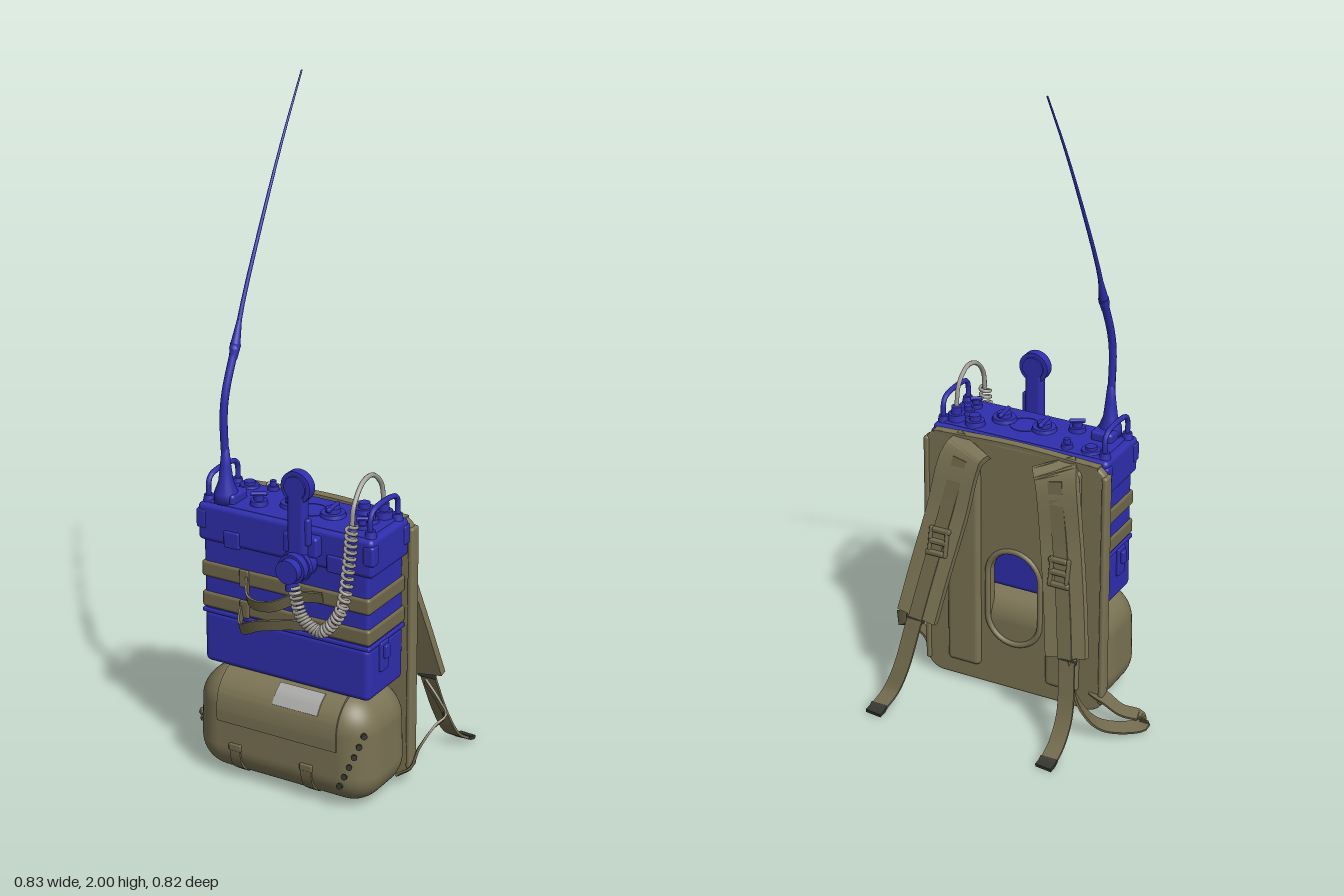
import * as THREE from 'three';
import { toCreasedNormals } from 'three/addons/utils/BufferGeometryUtils.js';
import { RoundedBoxGeometry } from 'three/addons/geometries/RoundedBoxGeometry.js';

const mat = (name, color) => {
  const m = new THREE.MeshStandardMaterial({ color });
  m.name = name;
  return m;
};
const V = (x, y, z) => new THREE.Vector3(x, y, z);
const curve = pts => new THREE.CatmullRomCurve3(pts.map(p => V(...p)), false, 'centripetal');

// Flat strap swept along a path, its width lying along a given axis
function ribbon(pts, width, thick, axis = [1, 0, 0], steps = 28) {
  const path = curve(pts), pos = [], idx = [];
  for (let i = 0; i <= steps; i++) {
    const p = path.getPoint(i / steps), t = path.getTangent(i / steps), w = V(...axis);
    w.addScaledVector(t, -w.dot(t)).normalize();
    const n = t.clone().cross(w);
    for (const [a, b] of [[1, 1], [-1, 1], [-1, -1], [1, -1]])
      pos.push(...p.clone().addScaledVector(w, a * width / 2).addScaledVector(n, b * thick / 2).toArray());
    if (i < steps) for (let k = 0; k < 4; k++) {
      const a = i * 4 + k, b = i * 4 + (k + 1) % 4;
      idx.push(a, b, b + 4, a, b + 4, a + 4);
    }
  }
  const e = steps * 4;
  idx.push(0, 2, 1, 0, 3, 2, e, e + 1, e + 2, e, e + 2, e + 3);
  const g = new THREE.BufferGeometry();
  g.setAttribute('position', new THREE.Float32BufferAttribute(pos, 3));
  g.setIndex(idx);
  return toCreasedNormals(g, 0.7);
}

const tube = (pts, r, seg = 32, sides = 8) => new THREE.TubeGeometry(curve(pts), seg, r, sides);
const rbox = (w, h, d, r = 0.01, s = 3) => new RoundedBoxGeometry(w, h, d, s, r);
const cyl = (r1, r2, h, n = 24) => new THREE.CylinderGeometry(r1, r2, h, n);

// Slot with semicircular ends
function ovalPath(cx, cy, rx, ry) {
  const s = new THREE.Path();
  s.absarc(cx, cy + ry - rx, rx, 0, Math.PI, false);
  s.absarc(cx, cy - ry + rx, rx, Math.PI, Math.PI * 2, false);
  s.closePath();
  return s;
}

export function createModel() {
  const blue = mat('radio blue', 0x2f2eae), olive = mat('olive canvas', 0x7b7354),
    web = mat('webbing', 0x70684b), dark = mat('dark fittings', 0x35352f),
    grey = mat('grey cord', 0xa09d95), pale = mat('pale label', 0xa9a9a7);
  const root = new THREE.Group(), pack = new THREE.Group();
  root.name = 'packRadio';
  pack.name = 'pack';
  pack.position.set(-0.12, 0, 0.139);
  pack.rotation.y = -0.6435;
  root.add(pack);
  const add = (name, geo, m, x = 0, y = 0, z = 0, parent = pack) => {
    const o = new THREE.Mesh(geo, m);
    o.name = name;
    o.position.set(x, y, z);
    parent.add(o);
    return o;
  };

  // Radio case
  add('batteryBox', rbox(0.55, 0.165, 0.2, 0.018), blue, 0, 0.422, 0);
  add('caseBody', rbox(0.545, 0.27, 0.196, 0.012), blue, 0, 0.63, 0);
  add('caseSeam', rbox(0.556, 0.014, 0.206, 0.005), blue, 0, 0.505, 0);
  add('caseCap', rbox(0.575, 0.115, 0.21, 0.014), blue, 0, 0.78, 0);
  for (const y of [0.635, 0.54]) add('caseBand', rbox(0.557, 0.05, 0.208, 0.01), web, 0, y, 0);
  for (const s of [-1, 1]) {
    add('latchPlate', rbox(0.014, 0.09, 0.045, 0.004), blue, s * 0.277, 0.46, 0.02);
    add('latchLever', rbox(0.018, 0.04, 0.025, 0.004), blue, s * 0.285, 0.475, 0.02);
    add('carryHandle', tube([[s * 0.265, 0.83, -0.075], [s * 0.265, 0.895, -0.075], [s * 0.265, 0.912, -0.06],
      [s * 0.265, 0.912, 0.06], [s * 0.265, 0.895, 0.075], [s * 0.265, 0.83, 0.075]], 0.008), blue);
    for (const z of [-0.075, 0.075]) {
      add('handleFoot', cyl(0.014, 0.018, 0.02, 16), blue, s * 0.265, 0.846, z);
      add('cornerGuard', rbox(0.035, 0.06, 0.035, 0.008), blue, s * 0.274, 0.79, z * 1.2);
    }
    add('frontClip', rbox(0.05, 0.05, 0.016, 0.004), blue, s * 0.17, 0.745, 0.105);
  }
  add('topPlate', rbox(0.53, 0.01, 0.18, 0.004), blue, 0, 0.838, 0);

  // Controls on the top, each as x, z, radius, height
  const knobs = [[-0.145, 0.12, 0.035, 0.026], [-0.04, 0.205, 0.035, 0.026], [0.05, 0.19, 0.028, 0.032],
    [0.1, 0.23, 0.025, 0.045], [0.06, 0.265, 0.02, 0.028], [0.03, 0.305, 0.018, 0.028],
    [-0.24, 0.1, 0.024, 0.032], [-0.19, -0.005, 0.016, 0.03], [-0.255, -0.04, 0.028, 0.018]];
  knobs.forEach(([x, z, r, h], i) => {
    add('knobBase', cyl(r, r * 1.1, h * 0.5), blue, x, 0.841 + h * 0.25, z, root);
    add('knobTop', cyl(r * 0.6, r * 0.65, h), blue, x, 0.841 + h * 0.5, z, root);
    if (i < 2 || i === 6 || i === 5) {
      const bar = add('knobPointer', rbox(r * 2, 0.012, 0.012, 0.004), blue, x, 0.842 + h, z, root);
      bar.rotation.y = i < 2 ? 1 : -0.1;
    }
  });
  const dial = add('dialRing', new THREE.TorusGeometry(0.045, 0.0015, 6, 32), blue, -0.095, 0.843, 0.16, root);
  dial.rotation.x = Math.PI / 2;

  // Antenna: spring base, bent lower section, joint and whip
  add('antennaBlock', rbox(0.07, 0.04, 0.08, 0.01), blue, -0.212, 0.85, 0.045);
  add('antennaBase', new THREE.LatheGeometry([[0, 0.84], [0.035, 0.84], [0.034, 0.87], [0.022, 0.9],
    [0.016, 0.95], [0.011, 1.0], [0, 1.0]].map(p => new THREE.Vector2(...p)), 20), blue, -0.33, 0, 0.06, root);
  add('antennaLower', tube([[-0.33, 0.95, 0.06], [-0.333, 1.1, 0.06], [-0.325, 1.17, 0.052],
    [-0.297, 1.28, 0.02]], 0.0115), blue, 0, 0, 0, root);
  const taper = (name, a, b, r1, r2) => {
    const d = b.clone().sub(a), m = add(name, cyl(r2, r1, d.length(), 10), blue, 0, 0, 0, root);
    m.position.copy(a).addScaledVector(d, 0.5);
    m.quaternion.setFromUnitVectors(V(0, 1, 0), d.normalize());
  };
  taper('antennaJoint', V(-0.302, 1.255, 0.026), V(-0.293, 1.295, 0.015), 0.012, 0.016);
  const whip = curve([[-0.297, 1.28, 0.02], [-0.27, 1.4, -0.02], [-0.205, 1.62, -0.105], [-0.14, 1.82, -0.195], [-0.075, 2, -0.283]]);
  const rad = t => t < 0.17 ? 0.016 - t * 0.053 : 0.0076 - t * 0.005;
  for (let i = 0; i < 12; i++)
    taper('antennaWhip', whip.getPoint(i / 12), whip.getPoint((i + 1) / 12), rad(i / 12), rad((i + 1) / 12));

  // Handset hung on the front
  const handset = new THREE.Group();
  handset.name = 'handset';
  handset.position.set(0.07, 0, 0.138);
  pack.add(handset);
  const hs = (name, r, h, y, z) => {
    add(name, cyl(r, r, h, 28), blue, 0, y, z, handset).rotation.x = Math.PI / 2;
  };
  hs('earpiece', 0.047, 0.028, 0.97, 0);
  hs('earpieceCap', 0.034, 0.04, 0.97, 0);
  hs('mouthpiece', 0.043, 0.07, 0.735, 0.005);
  hs('mouthpieceRim', 0.048, 0.014, 0.735, 0.01);
  hs('mouthpieceCap', 0.035, 0.04, 0.735, 0.045);
  add('handsetGrip', rbox(0.058, 0.24, 0.036, 0.014), blue, 0, 0.85, 0, handset);
  add('talkSwitch', rbox(0.02, 0.08, 0.02, 0.006), blue, 0.03, 0.84, 0, handset);
  add('handsetBracket', rbox(0.11, 0.06, 0.04, 0.008), blue, 0, 0.79, -0.025, handset);
  add('cordSocket', cyl(0.016, 0.02, 0.05, 16), blue, -0.015, 0.685, 0.01, handset);

  // Coiled cord and its plain upper end
  const cord = curve([[-0.16, 0.67, 0.3], [-0.14, 0.59, 0.33], [-0.09, 0.555, 0.35], [-0.04, 0.61, 0.36], [-0.015, 0.75, 0.365], [-0.006, 0.88, 0.367]]);
  const side = V(-0.6, 0, 0.8), coil = [];
  for (let i = 0; i <= 340; i++) {
    const t = i / 340, a = t * Math.PI * 2 * 34, n = side.clone().cross(cord.getTangent(t)).normalize();
    coil.push(cord.getPoint(t).addScaledVector(side, Math.cos(a) * 0.015).addScaledVector(n, Math.sin(a) * 0.015));
  }
  add('coiledCord', new THREE.TubeGeometry(new THREE.CatmullRomCurve3(coil), 680, 0.0055, 5), grey, 0, 0, 0, root);
  add('cordEnd', tube([[-0.006, 0.87, 0.367], [0, 0.93, 0.36], [0.03, 0.983, 0.315], [0.06, 0.99, 0.28],
    [0.09, 0.95, 0.245], [0.1, 0.87, 0.232]], 0.007), grey, 0, 0, 0, root);

  // Loose ends of the case bands
  add('bandEnd', ribbon([[-0.12, 0.635, 0.107], [-0.09, 0.59, 0.145], [-0.02, 0.59, 0.15], [0.07, 0.63, 0.122], [0.13, 0.635, 0.107]], 0.035, 0.006, [0, 1, 0.3]), web);
  add('bandEnd', ribbon([[-0.14, 0.54, 0.107], [-0.12, 0.5, 0.145], [-0.05, 0.53, 0.165], [0.05, 0.545, 0.135], [0.1, 0.54, 0.107]], 0.035, 0.006, [0, 1, 0.3]), web);
  for (const y of [0.635, 0.54]) add('bandBuckle', rbox(0.03, 0.054, 0.01, 0.004), web, -0.13, y, 0.107);

  // Lower bag, narrowing a little towards its top, with a flap, label, eyelets and small straps
  const bag = rbox(0.6, 0.33, 0.28, 0.1, 8), bp = bag.attributes.position;
  for (let i = 0; i < bp.count; i++) {
    const t = Math.max(0, bp.getY(i) / 0.165);
    bp.setX(i, bp.getX(i) * (1 - 0.09 * t * t));
  }
  add('lowerBag', bag, olive, 0, 0.173, 0.01);
  const arc = (r, a) => [0, 0.238 + r * Math.sin(a), 0.05 + r * Math.cos(a)];
  add('bagFlap', ribbon([arc(0.102, 1.6), arc(0.102, 1.1), arc(0.102, 0.5), arc(0.102, 0), [0, 0.19, 0.152]], 0.4, 0.008), olive);
  add('bagLabel', ribbon([arc(0.108, 1.1), arc(0.108, 0.8), arc(0.108, 0.45)], 0.15, 0.004), pale, 0.06);
  for (const x of [-0.14, 0.1]) {
    add('bagStrap', ribbon([[0, 0.12, 0.152], [0, 0.08, 0.148], [0, 0.05, 0.135], [0, 0.022, 0.1]], 0.035, 0.008), web, x);
    add('bagBuckle', rbox(0.042, 0.022, 0.01, 0.004), web, x, 0.115, 0.153);
  }
  for (let i = 0; i < 6; i++) {
    const t = i / 5, a = 0.1 + 0.7 * t;
    const e = add('eyelet', cyl(0.009, 0.009, 0.012, 12), dark, 0.2 + 0.1 * Math.sin(a), 0.085 + 0.16 * t, 0.05 + 0.1 * Math.cos(a));
    e.rotation.set(Math.PI / 2 - 0.1, 0, -a);
  }

  // Back panel with a slot, its rim, cushions and top binding
  const panel = new THREE.Shape();
  const hw = 0.293, r = 0.05, y0 = 0.02, y1 = 0.825;
  panel.absarc(hw - r, y0 + r, r, -Math.PI / 2, 0, false);
  panel.absarc(hw - r, y1 - r, r, 0, Math.PI / 2, false);
  panel.absarc(-hw + r, y1 - r, r, Math.PI / 2, Math.PI, false);
  panel.absarc(-hw + r, y0 + r, r, Math.PI, Math.PI * 1.5, false);
  panel.closePath();
  panel.holes.push(ovalPath(0, 0.33, 0.085, 0.155));
  add('backPanel', new THREE.ExtrudeGeometry(panel, { depth: 0.012, bevelThickness: 0.008, bevelSize: 0.008, bevelSegments: 3, curveSegments: 12 }), olive, 0, 0, -0.124);
  const rim = ovalPath(0, 0.33, 0.088, 0.158).getSpacedPoints(40).slice(0, -1).map(p => V(p.x, p.y, -0.131));
  add('slotRim', new THREE.TubeGeometry(new THREE.CatmullRomCurve3(rim, true), 64, 0.009, 8, true), olive);
  add('panelTopBinding', ribbon([[-0.27, 0.824, -0.118], [0, 0.836, -0.12], [0.27, 0.824, -0.118]], 0.028, 0.012, [0, 0, 1]), olive);

  for (const s of [-1, 1]) {
    add('backCushion', rbox(0.11, 0.74, 0.034, 0.016, 4), olive, s * 0.165, 0.44, -0.133);
    add('panelEdge', rbox(0.018, 0.76, 0.04, 0.008), olive, s * 0.293, 0.425, -0.118);

    // Shoulder strap, buckle and hanging tail
    const pad = [[s * 0.13, 0.815, -0.128], [s * 0.155, 0.78, -0.162], [s * 0.19, 0.6, -0.195], [s * 0.225, 0.42, -0.238], [s * 0.25, 0.275, -0.275]];
    add('shoulderPad', ribbon(pad, 0.13, 0.024), olive);
    add('padWebbing', ribbon(pad.map(([x, y, z]) => [x, y, z - 0.013]).slice(1), 0.045, 0.007), web);
    for (const y of [0.555, 0.52, 0.485])
      add('strapBuckle', rbox(0.06, 0.016, 0.016, 0.005), web, s * (0.2 + (0.52 - y) * 0.2), y, -0.232 - (0.52 - y) * 0.23);
    for (const k of [-1, 1])
      add('buckleSide', rbox(0.01, 0.09, 0.016, 0.004), web, s * 0.2 + k * 0.027, 0.52, -0.231).rotation.x = 0.2;
    const ex = s > 0 ? 0.31 : -0.272, ez = s > 0 ? -0.41 : -0.43;
    add('strapTail', ribbon([[s * 0.25, 0.3, -0.275], [s * 0.26, 0.23, -0.295], [s * 0.275, 0.12, -0.335],
      [(s * 0.28 + ex) / 2, 0.05, ez + 0.045], [ex, 0.015, ez]], 0.05, 0.008), web);
    add('tailTip', ribbon([[ex, 0.02, ez + 0.005], [ex, 0.012, ez - 0.012], [ex + 0.002, 0.008, ez - 0.032]], 0.053, 0.011, [1, 0, 0], 8), dark);
    add('loopBuckle', rbox(0.06, 0.024, 0.016, 0.006), dark, s * 0.255, 0.268, -0.28);
  }

  // Adjusting webbing that slackens from each pad to the foot of the bag
  add('sideLoop', ribbon([[-0.16, 0.27, -0.23], [-0.185, 0.13, -0.235], [-0.25, 0.04, -0.235], [-0.34, 0.017, -0.235],
    [-0.39, 0.02, -0.225], [-0.385, 0.035, -0.208], [-0.33, 0.05, -0.19], [-0.29, 0.07, -0.15], [-0.26, 0.08, -0.11]],
    0.046, 0.007, [0, 0.3, 1], 40), web, 0, 0, 0, root);
  add('sideLoop', ribbon([[0.24, 0.27, 0.12], [0.275, 0.22, 0.165], [0.285, 0.195, 0.205], [0.25, 0.175, 0.23],
    [0.205, 0.12, 0.25], [0.18, 0.06, 0.25], [0.15, 0.03, 0.235]], 0.046, 0.007, [0, 0.6, 0.8], 40), web, 0, 0, 0, root);
  return root;
}
